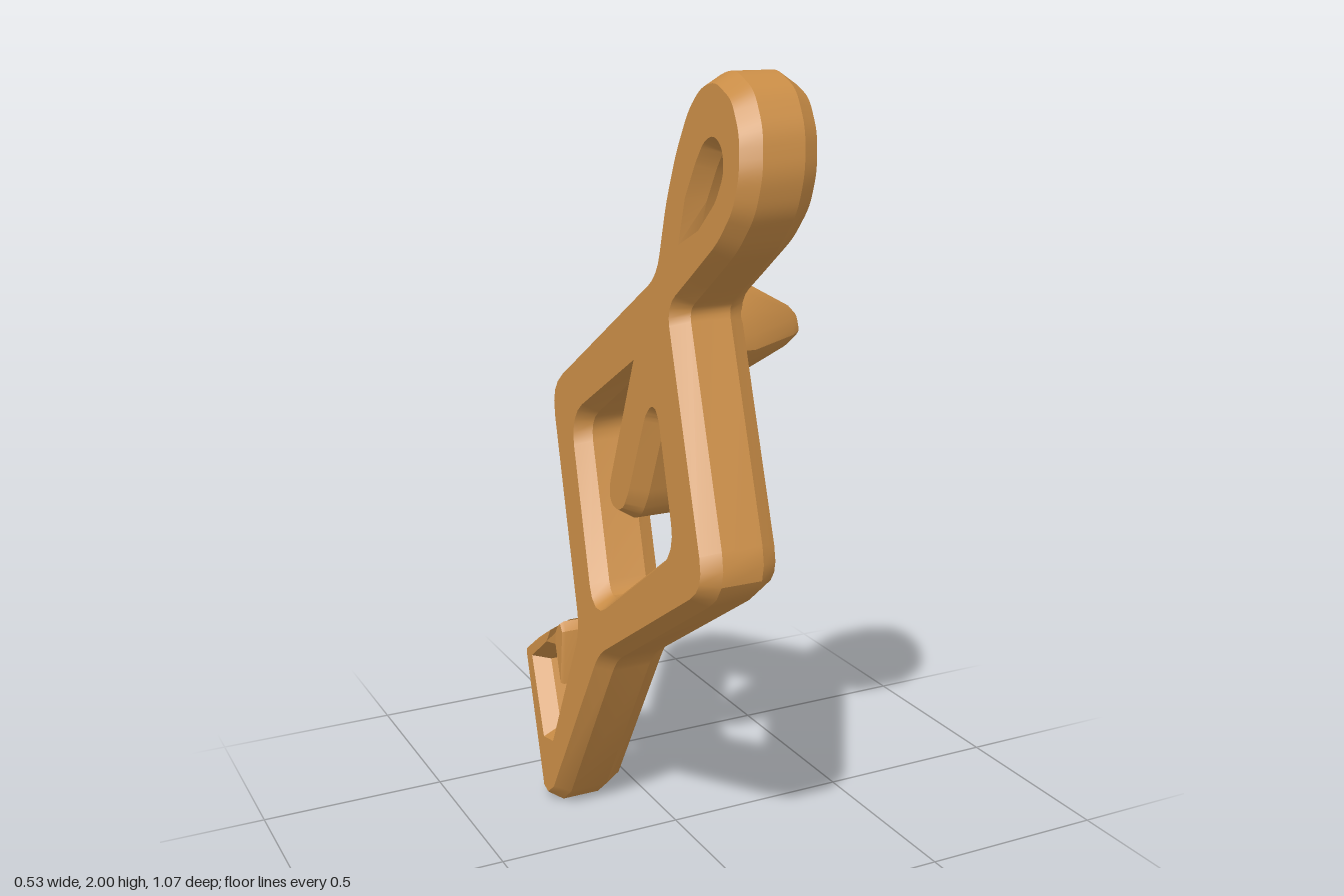
import * as THREE from 'three';
import { toCreasedNormals } from 'three/addons/utils/BufferGeometryUtils.js';

// Polygon of [u, v, cut] points; a cut rounds that corner
function rounded(points) {
  const out = [];
  points.forEach(([u, v, cut], i) => {
    const p = new THREE.Vector2(u, v);
    if (!cut) return out.push(p);
    const toward = ([a, b]) => new THREE.Vector2(a, b).sub(p).setLength(cut).add(p);
    const before = toward(points[(i + points.length - 1) % points.length]);
    const after = toward(points[(i + 1) % points.length]);
    out.push(...new THREE.QuadraticBezierCurve(before, p, after).getPoints(4));
  });
  return out;
}

// Chamfered plate in the y-z plane, leaning slightly sideways
function plate(outline, holes, width, chamferDepth, chamfer) {
  const shape = new THREE.Shape(rounded(outline));
  shape.holes = holes.map((h) => new THREE.Path(rounded(h)));
  const depth = width - 2 * chamferDepth;
  const geo = new THREE.ExtrudeGeometry(shape, {
    depth, bevelEnabled: true, bevelSegments: 1,
    bevelThickness: chamferDepth, bevelSize: chamfer, bevelOffset: -chamfer,
  });
  const pos = geo.attributes.position;
  for (let i = 0; i < pos.count; i++) {
    const u = pos.getX(i), v = pos.getY(i), w = pos.getZ(i) - depth / 2;
    pos.setXYZ(i, w - 0.18 + 0.114 * v + 0.032 * u, v, -u);
  }
  return toCreasedNormals(geo, 0.47);
}

// Loft of one closed section, scaled about its centre at each [x, scale]
function peg(section, cy, cz, stations) {
  const n = 16;
  const ring = new THREE.CatmullRomCurve3(
    section.map(([z, y]) => new THREE.Vector3(0, y - cy, z - cz)), true, 'catmullrom', 0.35
  ).getPoints(n).slice(0, n);
  const pos = [], index = [];
  stations.forEach(([x, s]) => ring.forEach((p) => pos.push(x, cy + p.y * s, cz + p.z * s)));
  for (let k = 0; k < stations.length - 1; k++) {
    for (let i = 0; i < n; i++) {
      const a = k * n + i, b = k * n + (i + 1) % n;
      index.push(a, b, a + n, b, b + n, a + n);
    }
  }
  const last = (stations.length - 1) * n;
  for (let i = 1; i < n - 1; i++) index.push(last, last + i, last + i + 1);
  const geo = new THREE.BufferGeometry();
  geo.setAttribute('position', new THREE.Float32BufferAttribute(pos, 3));
  geo.setIndex(index);
  return toCreasedNormals(geo, 0.6);
}

export function createModel() {
  const group = new THREE.Group();
  const bronze = new THREE.MeshStandardMaterial({ color: 0xc88c46 });
  bronze.name = 'bronze';
  const add = (name, geo) => {
    const mesh = new THREE.Mesh(geo, bronze);
    mesh.name = name;
    group.add(mesh);
  };

  // Outline: loop, diamond frame, hook, and back up
  const outline = [
    [-0.32, 2.004, 0.035], [-0.423, 1.965, 0.035], [-0.485, 1.885, 0.035], [-0.508, 1.79, 0.035],
    [-0.493, 1.7, 0.035], [-0.43, 1.615, 0.035], [-0.31, 1.52],
    [-0.22, 1.45, 0.03], [-0.565, 0.865, 0.1], [-0.01, 0.505, 0.04],
    [0.2, 0.045], [0.25, 0.0], [0.307, 0.01], [0.535, 0.335], [0.535, 0.37], [0.325, 0.498],
    [0.345, 0.412], [0.43, 0.345], [0.315, 0.192], [0.278, 0.2],
    [0.175, 0.535, 0.04], [0.53, 1.13, 0.11], [-0.09, 1.53, 0.04],
    [-0.1, 1.69, 0.04], [-0.128, 1.815, 0.04], [-0.175, 1.925, 0.04], [-0.237, 1.985, 0.035],
  ];
  const loopHole = [
    [-0.338, 1.836, 0.014], [-0.367, 1.82, 0.014], [-0.38, 1.785, 0.014], [-0.36, 1.735, 0.014], [-0.295, 1.67],
    [-0.236, 1.634], [-0.25, 1.705], [-0.285, 1.785, 0.014], [-0.31, 1.825, 0.014],
  ];
  // Diamond opening with the tongue reaching into it
  const frameHole = [
    [-0.187, 1.17, 0.01], [-0.332, 0.915, 0.05], [0.055, 0.638, 0.06], [0.305, 1.065, 0.06], [-0.008, 1.268],
    [0.068, 0.97, 0.02], [0.058, 0.922, 0.02], [0.022, 0.893, 0.02],
    [-0.034, 0.89, 0.02], [-0.076, 0.915, 0.02], [-0.1, 0.965, 0.02],
    [-0.152, 1.17, 0.01], [-0.168, 1.188, 0.008],
  ];
  add('loopFrameAndHook', plate(outline, [loopHole, frameHole], 0.195, 0.045, 0.026));

  // Pointed barb at the end of the hook
  const barb = [[0.3, 0.475], [0.28, 0.33], [0.345, 0.42], [0.36, 0.465], [0.325, 0.495]];
  add('hookBarb', plate(barb, [], 0.16, 0.01, 0.004));

  // Tapered side peg
  const section = [[0.23, 1.34], [0.095, 1.245], [0.035, 1.395], [0.165, 1.495]];
  add('sidePeg', peg(section, 1.365, 0.135, [[-0.02, 1], [0.1, 1], [0.235, 0.44], [0.26, 0.25]]));
  return group;
}
